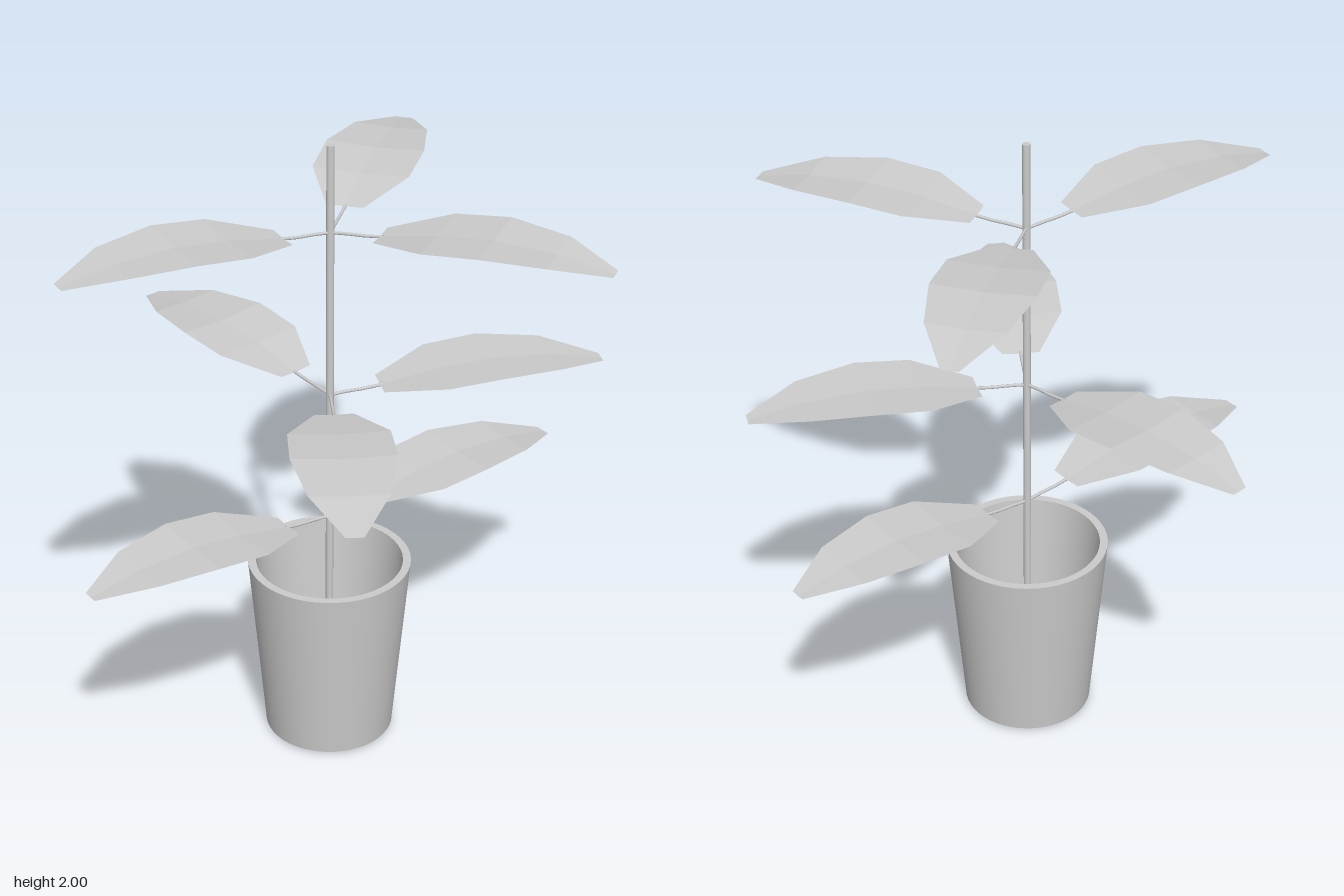
import * as THREE from 'three';

const STEM_Z = 0.05;

// leaf stations: [distance from stem, half width, height above the joint]
const STATIONS = [
  [0.155, 0.058, 0.016],
  [0.33, 0.15, 0.048],
  [0.5, 0.154, 0.064],
  [0.69, 0.116, 0.055],
  [0.857, 0.026, 0.024],
];
const FOLD = 0.05; // how much the blade edges rise per unit of half width

// folded blade: each station is an edge, midrib, edge cross-section
function bladeGeometry() {
  const positions = [], index = [];
  for (const [r, w, h] of STATIONS) {
    for (const s of [-1, 0, 1]) positions.push(r, h + Math.abs(s) * w * FOLD, s * w);
  }
  for (let i = 0; i < STATIONS.length - 1; i++) {
    for (let j = 0; j < 2; j++) {
      const a = i * 3 + j, b = a + 3;
      index.push(a, a + 1, b, b, a + 1, b + 1);
    }
  }
  const geo = new THREE.BufferGeometry();
  geo.setAttribute('position', new THREE.Float32BufferAttribute(positions, 3));
  geo.setIndex(index);
  geo.computeVertexNormals();
  return geo;
}

export function createModel() {
  const model = new THREE.Group();
  const smooth = new THREE.MeshStandardMaterial({ color: 0xcccccc, side: THREE.DoubleSide });
  const faceted = new THREE.MeshStandardMaterial({ color: 0xcccccc, side: THREE.DoubleSide, flatShading: true });

  const add = (parent, name, geo, mat) => {
    const mesh = new THREE.Mesh(geo, mat);
    mesh.name = name;
    parent.add(mesh);
    return mesh;
  };

  const plant = new THREE.Group();
  plant.name = 'pottedPlant';
  plant.position.z = STEM_Z;
  model.add(plant);

  // hollow tapered pot: walls, rim, and two floors
  const pot = new THREE.Group();
  pot.name = 'pot';
  plant.add(pot);
  const SEG = 48;
  add(pot, 'potOuterWall', new THREE.CylinderGeometry(0.255, 0.203, 0.6, SEG, 1, true), smooth).position.y = 0.31;
  add(pot, 'potInnerWall', new THREE.CylinderGeometry(0.23, 0.182, 0.57, SEG, 1, true).scale(-1, 1, 1), smooth).position.y = 0.325;
  const rim = add(pot, 'potRim', new THREE.RingGeometry(0.23, 0.255, SEG), smooth);
  rim.rotation.x = -Math.PI / 2;
  rim.position.y = 0.61;
  const floor = add(pot, 'potFloor', new THREE.CircleGeometry(0.182, SEG), smooth);
  floor.rotation.x = -Math.PI / 2;
  floor.position.y = 0.04;
  const base = add(pot, 'potBase', new THREE.CircleGeometry(0.203, SEG), smooth);
  base.rotation.x = Math.PI / 2;
  base.position.y = 0.01;

  // straight stem
  add(plant, 'stem', new THREE.CylinderGeometry(0.012, 0.012, 2, 16), smooth).position.y = 1;

  // thin stalk from the stem to the base of a blade
  const stalkCurve = new THREE.CatmullRomCurve3([
    new THREE.Vector3(0, 0, 0),
    new THREE.Vector3(0.06, 0.006, 0),
    new THREE.Vector3(0.11, 0.009, 0),
    new THREE.Vector3(0.165, 0.016, 0),
  ]);
  const stalk = new THREE.TubeGeometry(stalkCurve, 10, 0.005, 8);
  const blade = bladeGeometry();

  // leaf tiers: joint height and compass angles in degrees (from +x towards +z)
  const tiers = [
    { name: 'lowerLeaf', y: 0.765, angles: [0, 180] },
    { name: 'middleLeaf', y: 1.192, angles: [22, 121, 263.5] },
    { name: 'upperLeaf', y: 1.727, angles: [58, 186.5, 321.5] },
  ];
  for (const { name, y, angles } of tiers) {
    angles.forEach((deg, i) => {
      const leaf = new THREE.Group();
      leaf.name = name + (i + 1);
      leaf.position.y = y;
      leaf.rotation.y = -THREE.MathUtils.degToRad(deg);
      add(leaf, 'leafStalk', stalk, smooth);
      add(leaf, 'leafBlade', blade, faceted);
      plant.add(leaf);
    });
  }

  return model;
}
